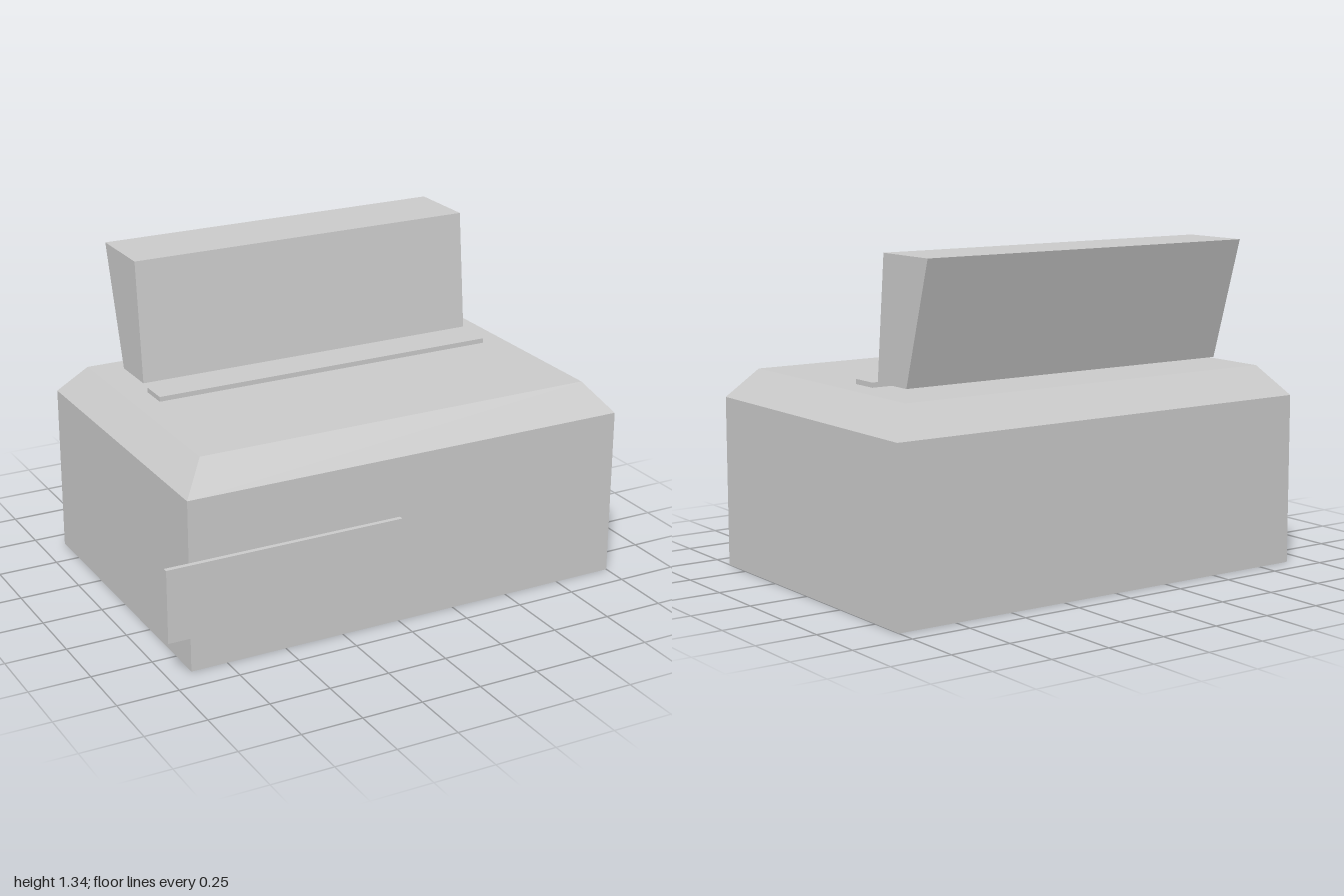
import * as THREE from 'three';

const shellGrey = new THREE.MeshStandardMaterial({ color: 0xcccccc });
shellGrey.name = 'shellGrey';

function addPart(group, name, geometry) {
  const mesh = new THREE.Mesh(geometry, shellGrey);
  mesh.name = name;
  group.add(mesh);
}

// Box given by its lower and upper corners
function boxBetween([x0, y0, z0], [x1, y1, z1]) {
  return new THREE.BoxGeometry(x1 - x0, y1 - y0, z1 - z0)
    .translate((x0 + x1) / 2, (y0 + y1) / 2, (z0 + z1) / 2);
}

// Closed housing: straight walls, then a rim sloping in to the flat top
function housingGeometry() {
  const geometry = new THREE.BoxGeometry(1.9, 2, 1.3, 1, 2, 1).toNonIndexed();
  const pos = geometry.attributes.position;
  const heights = [0, 0.7, 0.82];
  for (let i = 0; i < pos.count; i++) {
    const row = Math.round(pos.getY(i) + 1);
    const inset = row === 2 ? 0.1 : 0;
    const x = pos.getX(i), z = pos.getZ(i);
    pos.setXYZ(i, x - Math.sign(x) * inset, heights[row], z - Math.sign(z) * inset);
  }
  geometry.translate(0.05, 0, -0.01);
  geometry.computeVertexNormals();
  return geometry;
}

// Wedge leaning back, its side outline (z, y) swept across the width
function paperFeedGeometry() {
  const outline = new THREE.Shape([[-0.21, 0.845], [-0.26, 1.34], [-0.56, 1.34], [-0.41, 0.845]]
    .map(([z, y]) => new THREE.Vector2(z, y)));
  return new THREE.ExtrudeGeometry(outline, { depth: 1.5, bevelEnabled: false })
    .rotateY(-Math.PI / 2)
    .translate(0.8, 0, 0);
}

export function createModel() {
  const group = new THREE.Group();
  group.name = 'deskMachine';
  addPart(group, 'housing', housingGeometry());
  addPart(group, 'frontPanel', boxBetween([-1, 0.15, 0.64], [0, 0.45, 0.66]));
  addPart(group, 'topStrip', boxBetween([-0.7, 0.82, -0.17], [0.8, 0.84, -0.05]));
  addPart(group, 'paperFeed', paperFeedGeometry());
  return group;
}
